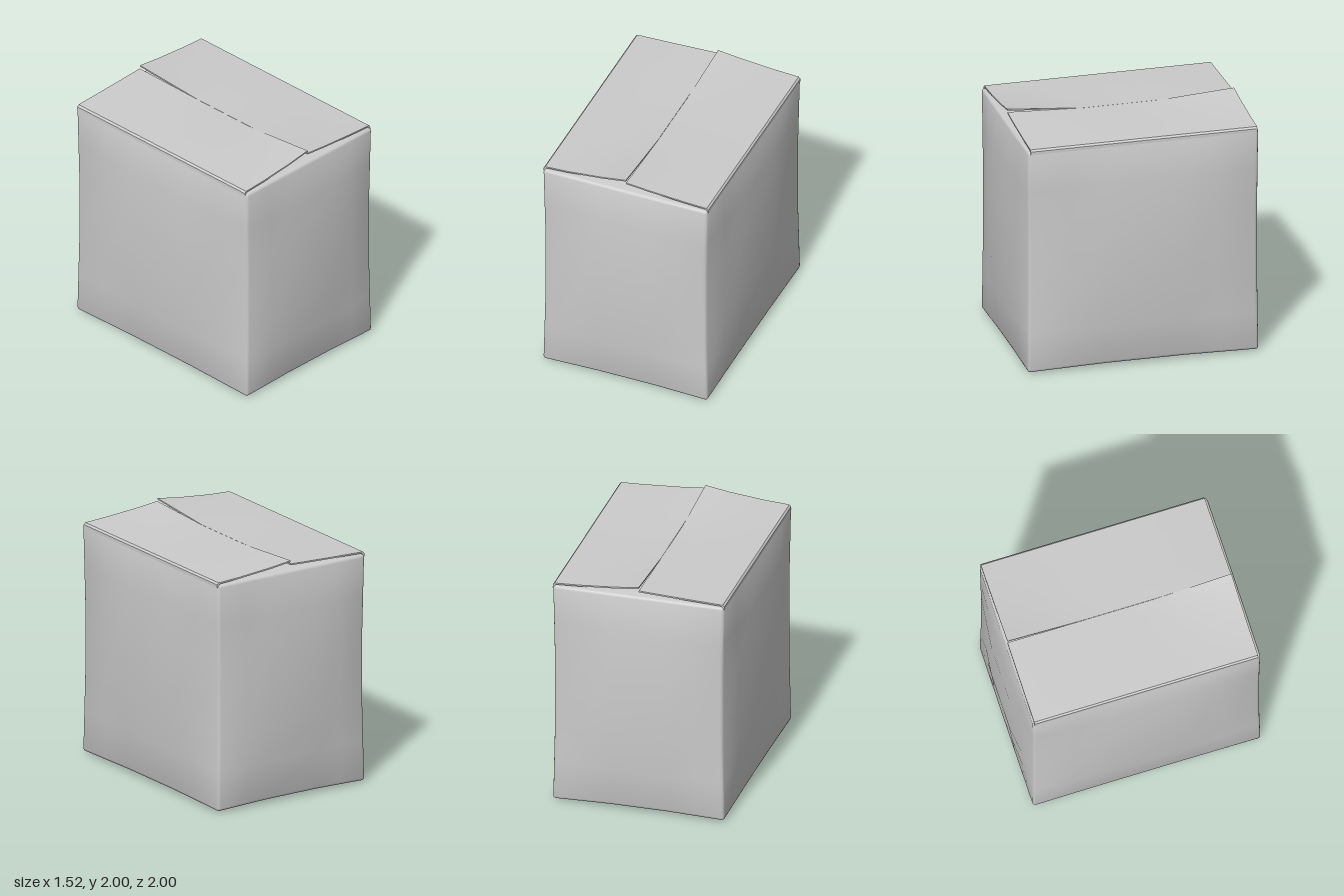
import * as THREE from 'three';
import { mergeVertices, toCreasedNormals } from 'three/addons/utils/BufferGeometryUtils.js';

const material = new THREE.MeshStandardMaterial({ color: 0xcccccc, side: THREE.DoubleSide });

// Flat across the middle third, falling to zero at both edges
const swell = (t) => THREE.MathUtils.clamp((1 - Math.abs(t)) / 0.66, 0, 1);

// Weld and smooth a geometry, keeping clear folds sharp
function finish(geometry, crease) {
  geometry.deleteAttribute('uv');
  geometry.deleteAttribute('normal');
  return toCreasedNormals(mergeVertices(geometry, 1e-4), crease);
}

// Carton body: rounded edges, swollen panels, slightly pinched corners
function bodyGeometry() {
  const half = [0.712, 0.948, 0.952];
  const bottom = 0.01;
  const r = 0.025;
  const geometry = new THREE.BoxGeometry(2, 2, 2, 9, 9, 9);
  const pos = geometry.attributes.position;
  const dir = new THREE.Vector3();
  for (let i = 0; i < pos.count; i++) {
    const inner = [], out = [];
    for (let k = 0; k < 3; k++) {
      const h = half[k];
      const stops = [-h, -h + r * 0.3, -h + r, -h * 0.65, -h / 3, h / 3, h * 0.65, h - r, h - r * 0.3, h];
      const p = stops[Math.round((pos.getComponent(i, k) + 1) * 4.5)];
      inner[k] = THREE.MathUtils.clamp(p, -h + r, h - r);
      out[k] = p - inner[k];
    }
    dir.fromArray(out).normalize().multiplyScalar(r);
    let [x, y, z] = inner.map((v, k) => v + dir.getComponent(k));
    const [u, v, w] = [x / half[0], y / half[1], z / half[2]];
    const [su, sv, sw] = [swell(u), swell(v), swell(w)];
    // side, front and back panels bow outwards; the upright corners pull in
    x += u * sv * (0.047 * sw - 0.014 * (1 - sw));
    z += w * sv * (0.048 * su - 0.008 * (1 - su));
    // the base sags a little while its front and side edges lift
    if (v < 0) y += -v * (0.014 * (su + sw) - 0.04 * su * sw);
    pos.setXYZ(i, x, y + half[1] + bottom, z);
  }
  return finish(geometry, 0.5);
}

// Closing flap: hinged along one side, curling up at its two free corners
function flapGeometry(side, frontLift, backLift) {
  const columns = [[0.713, 1.885], [0.712, 1.912], [0.698, 1.927], [0.5, 1.933], [0.2, 1.94], [0.001, 1.944]];
  const rows = [-0.94, -0.62, -0.3, 0, 0.3, 0.62, 0.93];
  const thickness = 0.012;
  const geometry = new THREE.BoxGeometry(2, 1, 2, columns.length - 1, 1, rows.length - 1);
  const pos = geometry.attributes.position;
  for (let i = 0; i < pos.count; i++) {
    const c = Math.round((1 - side * pos.getX(i)) / 2 * (columns.length - 1));
    const z = rows[Math.round((pos.getZ(i) + 1) / 2 * (rows.length - 1))];
    const under = pos.getY(i) < 0;
    let [x, y] = columns[c];
    const reach = 1 - x / 0.713;
    const curl = Math.max(0, (Math.abs(z) - 0.3) / 0.64);
    y += (z > 0 ? frontLift : backLift) * curl * reach * reach;
    if (under && c < 3) x -= thickness;
    if (under && c > 0) y -= thickness;
    pos.setXYZ(i, side * x, y, z);
  }
  return finish(geometry, 0.7);
}

export function createModel() {
  const group = new THREE.Group();
  group.name = 'cardboardBox';
  const add = (name, geometry) => {
    const mesh = new THREE.Mesh(geometry, material);
    mesh.name = name;
    group.add(mesh);
  };
  add('boxBody', bodyGeometry());
  add('leftFlap', flapGeometry(1, 0.032, 0.04));
  add('rightFlap', flapGeometry(-1, 0.057, 0.012));
  return group;
}
